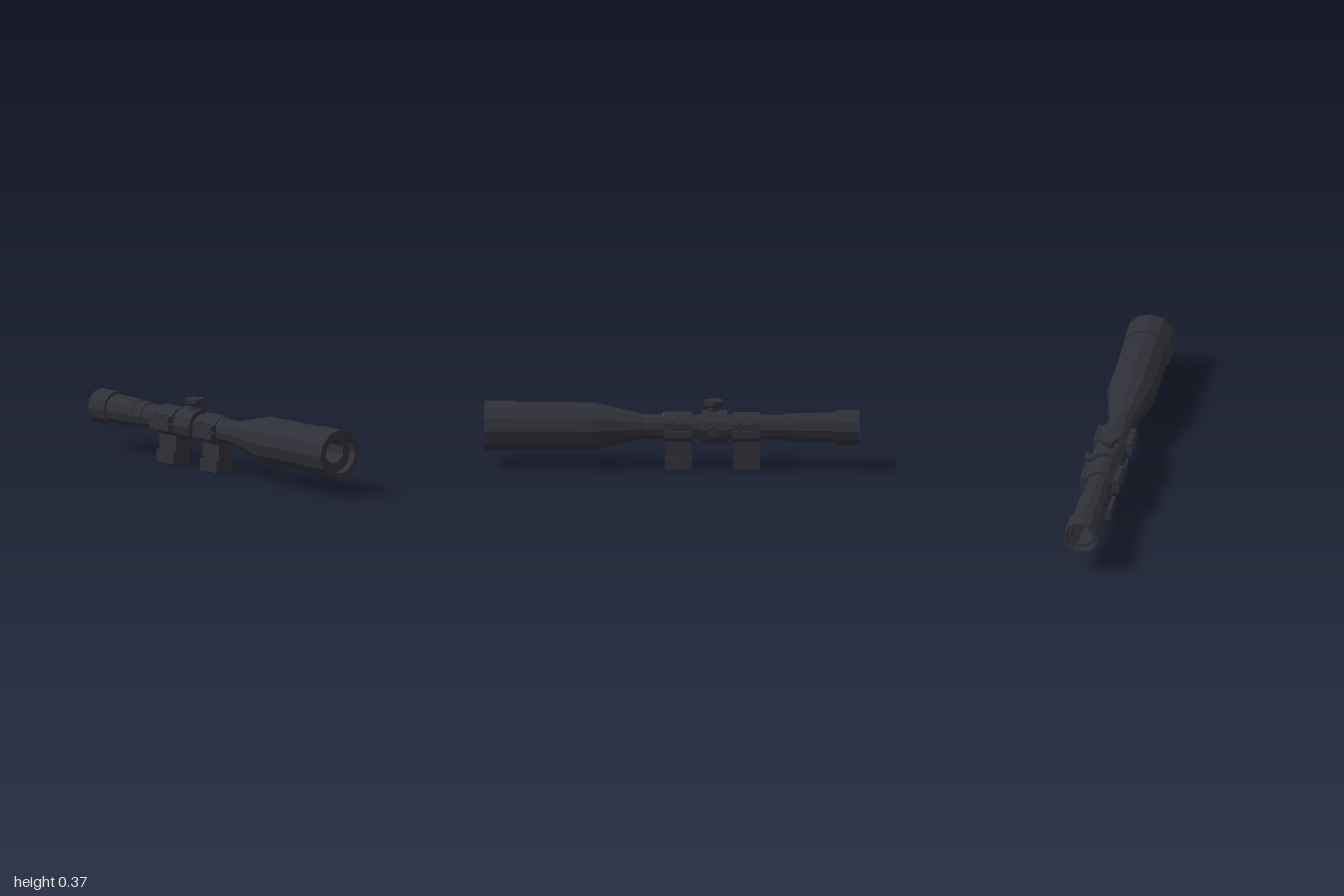
import * as THREE from 'three';

const AXIS_Y = 0.222;

export function createModel() {
  const model = new THREE.Group();
  const metal = new THREE.MeshStandardMaterial({ color: 0x2f2f38, flatShading: true });
  metal.name = 'dark metal';
  const glass = new THREE.MeshStandardMaterial({ color: 0x2f4b54, flatShading: true });
  glass.name = 'teal glass';

  const add = (name, geometry, x, y, z, material = metal, parent = model) => {
    const mesh = new THREE.Mesh(geometry, material);
    mesh.name = name;
    mesh.position.set(x, y, z);
    parent.add(mesh);
    return mesh;
  };
  const box = (w, h, d) => new THREE.BoxGeometry(w, h, d);

  // Twelve-sided turned part along x, from [x, radius] pairs
  const turned = (pairs) => {
    const points = pairs.map(([x, r]) => new THREE.Vector2(r, x));
    return new THREE.LatheGeometry(points, 12).rotateZ(-Math.PI / 2);
  };
  const polygon = (Type, sides, r, cx = 0, cy = 0, turn = 0) => {
    const pts = [];
    for (let i = 0; i < sides; i++) {
      const a = (i / sides) * Math.PI * 2 + turn;
      pts.push(new THREE.Vector2(cx + r * Math.cos(a), cy + r * Math.sin(a)));
    }
    return new Type(pts);
  };
  // Recessed plug with an octagonal bore
  const bore = (r, hole, cx, cy, depth) => {
    const shape = polygon(THREE.Shape, 12, r);
    shape.holes.push(polygon(THREE.Path, 8, hole, cx, cy, Math.PI / 8));
    return new THREE.ExtrudeGeometry(shape, { depth, bevelEnabled: false }).rotateY(Math.PI / 2);
  };

  // Main tube with eyepiece, flared bell and recessed rims
  add('scopeTube', turned([
    [-0.96, 0.075], [-1, 0.08], [-1, 0.096], [-0.87, 0.096], [-0.87, 0.082],
    [-0.66, 0.079], [-0.66, 0.075], [-0.59, 0.074], [-0.59, 0.068], [0.15, 0.068],
    [0.42, 0.13], [0.84, 0.13], [0.84, 0.137], [1, 0.137], [1, 0.102], [0.95, 0.102],
  ]), 0, AXIS_Y, 0);
  add('objectiveBore', bore(0.102, 0.065, -0.005, 0.011, 0.5), 0.455, AXIS_Y, 0);
  add('eyepieceBore', bore(0.076, 0.062, 0, 0, 0.28), -0.965, AXIS_Y, 0);

  // Octagonal lens just ahead of the front ring
  const lens = new THREE.CylinderGeometry(0.065, 0.065, 0.012, 8);
  lens.rotateY(Math.PI / 8).rotateZ(Math.PI / 2);
  add('lens', lens, 0.044, AXIS_Y + 0.011, 0.005, glass);

  // Open collar that wraps the tube
  const collar = (w, r) => turned([
    [-w / 2, 0.062], [-w / 2, r], [w / 2, r], [w / 2, 0.062],
  ]);

  // Two mounting rings with clamps, posts and rail feet
  for (const x of [-0.397, -0.034]) {
    const mount = new THREE.Group();
    mount.name = 'mount';
    mount.position.x = x;
    model.add(mount);
    add('ring', collar(0.146, 0.083), 0, AXIS_Y, 0, metal, mount);
    for (const side of [1, -1]) {
      add('upperFlange', box(0.154, 0.034, 0.036), 0, 0.244, side * 0.086, metal, mount);
      add('lowerFlange', box(0.154, 0.034, 0.036), 0, 0.202, side * 0.086, metal, mount);
      for (const sx of [-0.035, 0.035]) {
        add('clampScrew', new THREE.CylinderGeometry(0.011, 0.011, 0.09, 6),
          sx, 0.223, side * 0.092, metal, mount);
      }
    }
    add('post', box(0.138, 0.1, 0.084), 0, 0.108, 0, metal, mount);
    add('railFoot', box(0.14, 0.066, 0.114), 0, 0.033, 0.003, metal, mount);
    const nut = new THREE.CylinderGeometry(0.026, 0.026, 0.01, 6).rotateX(Math.PI / 2);
    add('footNut', nut, 0, 0.035, -0.058, metal, mount);
    const bolt = new THREE.CylinderGeometry(0.018, 0.018, 0.012, 6).rotateX(Math.PI / 2);
    add('footBolt', bolt, 0, 0.035, -0.064, metal, mount);
  }

  // Turret saddle and adjustment knobs
  add('turretSaddle', collar(0.136, 0.093), -0.227, AXIS_Y, 0);
  add('elevationStem', new THREE.CylinderGeometry(0.03, 0.03, 0.06, 8), -0.22, 0.315, 0.003);
  add('elevationNeck', new THREE.CylinderGeometry(0.052, 0.034, 0.012, 6), -0.22, 0.336, 0.003);
  add('elevationCap', new THREE.CylinderGeometry(0.053, 0.053, 0.024, 6), -0.22, 0.354, 0.003);
  const windageStem = new THREE.CylinderGeometry(0.02, 0.02, 0.04, 8).rotateX(Math.PI / 2);
  add('windageStem', windageStem, -0.22, AXIS_Y, -0.09);
  const windageCap = new THREE.CylinderGeometry(0.032, 0.032, 0.018, 6).rotateX(Math.PI / 2);
  add('windageCap', windageCap, -0.22, AXIS_Y, -0.113);

  return model;
}
